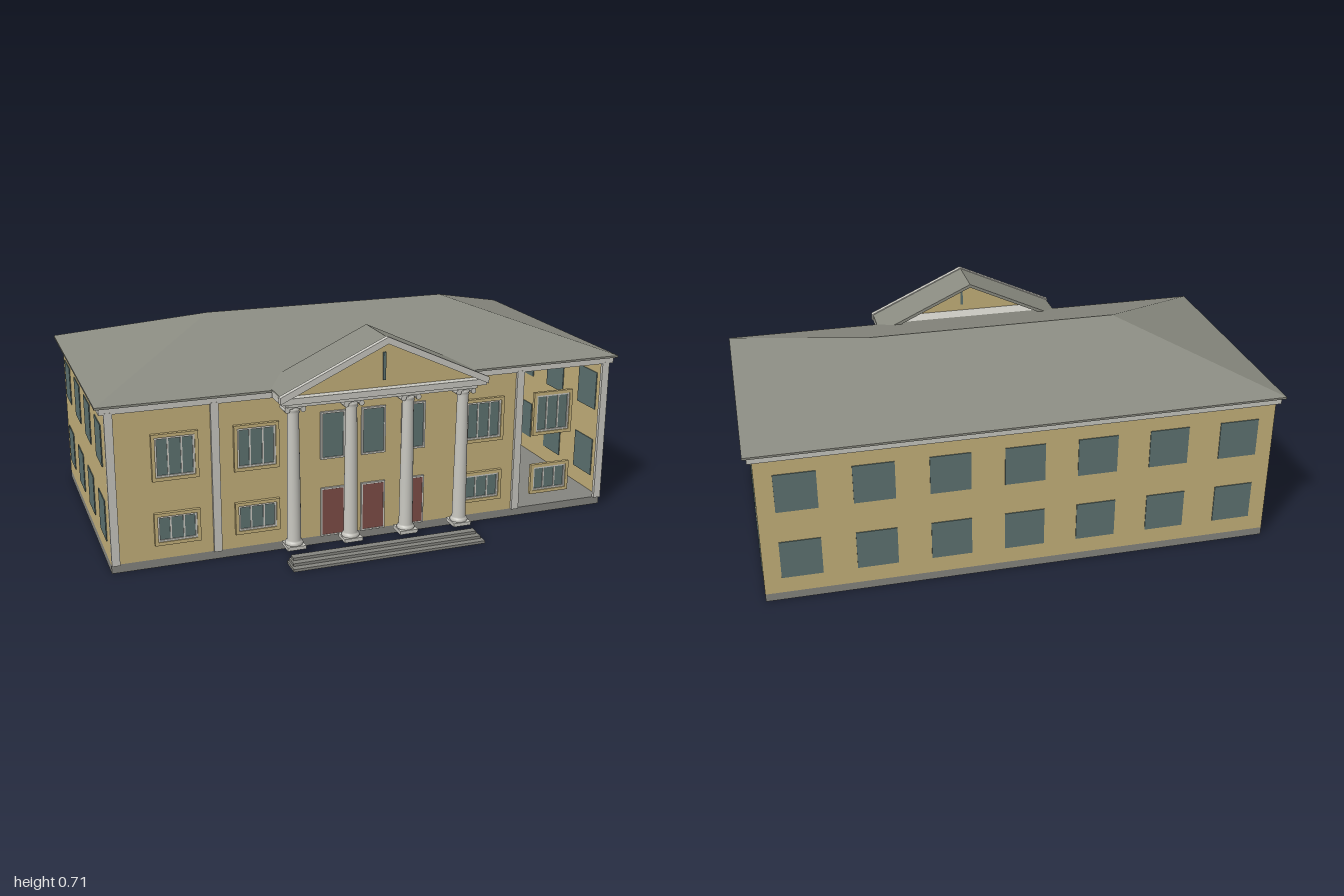
import * as THREE from 'three';
import { ConvexGeometry } from 'three/addons/geometries/ConvexGeometry.js';

const mat = (name, color, side = THREE.FrontSide) => {
  const m = new THREE.MeshStandardMaterial({ color, side });
  m.name = name;
  return m;
};

export function createModel() {
  const wallMat = mat('ochre wall', 0xc4b07a, THREE.DoubleSide);
  const roofMat = mat('grey roof', 0x8a8b81, THREE.DoubleSide);
  const trimMat = mat('pale trim', 0xc8c7c0);
  const baseMat = mat('plinth grey', 0x85857f);
  const glassMat = mat('blue grey glass', 0x5d7270);
  const doorMat = mat('red brown door', 0x7d4c46);

  const root = new THREE.Group();
  const building = new THREE.Group();
  building.name = 'building';
  building.rotation.y = 0.95; // the building stands diagonally
  root.add(building);

  const add = (name, geo, material, x = 0, y = 0, z = 0, parent = building) => {
    const m = new THREE.Mesh(geo, material);
    m.name = name;
    m.position.set(x, y, z);
    parent.add(m);
    return m;
  };
  const box = (name, material, w, h, d, x, y, z, parent) =>
    add(name, new THREE.BoxGeometry(w, h, d), material, x, y, z, parent);
  const extrude = (shape, depth) => new THREE.ExtrudeGeometry(shape, { depth, bevelEnabled: false });
  const polygon = (pts) => new THREE.Shape(pts.map(([x, y]) => new THREE.Vector2(x, y)));

  const A = 0.866, B = 0.447, Y0 = 0.028, Y1 = 0.525;

  // plinth with the floor on top
  box('plinth', baseMat, 2 * A, Y0, 2 * B, 0, Y0 / 2, 0);

  // thin walls; the right bay of the front is open
  const wall = (name, w, x, z, ry) => {
    const m = add(name, new THREE.PlaneGeometry(w, Y1 - Y0), wallMat, x, (Y0 + Y1) / 2, z);
    m.rotation.y = ry;
  };
  const bay = 0.525;
  wall('frontWall', A + bay, (bay - A) / 2, B, 0);
  wall('backWall', 2 * A, 0, -B, Math.PI);
  wall('leftWall', 2 * B, -A, 0, -Math.PI / 2);
  wall('rightWall', 2 * B, A, 0, Math.PI / 2);

  // plain windows on the ends and the back, visible from inside too
  for (const [y, h] of [[0.153, 0.135], [0.4, 0.135]]) {
    for (const z of [-0.342, -0.112, 0.108, 0.33])
      for (const s of [-1, 1]) box('endWindow', glassMat, 0.006, h, 0.116, s * A, y, z);
    for (let i = -3; i <= 3; i++) box('backWindow', glassMat, 0.135, h, 0.006, i * 0.247, y, -B);
  }

  // rectangular ring used for window frames
  const ring = (w, h, t, depth) => {
    const rect = (a, b) => [[-a, -b], [a, -b], [a, b], [-a, b]];
    const s = polygon(rect(w / 2, h / 2));
    s.holes.push(polygon(rect(w / 2 - t, h / 2 - t)));
    return extrude(s, depth);
  };
  const frontWindow = (x, y, w, h, mullions, surround) => {
    const g = new THREE.Group();
    g.name = 'frontWindow';
    g.position.set(x, y, B);
    building.add(g);
    box('glass', glassMat, w - 0.01, h - 0.01, 0.006, 0, 0, 0.001, g);
    add('frame', ring(w, h, 0.006, 0.008), trimMat, 0, 0, 0, g);
    if (surround) add('surround', ring(w + 0.022, h + 0.022, 0.011, 0.012), wallMat, 0, 0, 0, g);
    for (const m of mullions) box('mullion', trimMat, 0.005, h - 0.01, 0.004, m * w, 0, 0.005, g);
  };
  for (const s of [-1, 1])
    for (const x of [0.395, 0.655]) {
      frontWindow(s * x, 0.13, 0.125, 0.085, [-0.17, 0.17], true);
      frontWindow(s * x, 0.366, 0.125, 0.13, [-0.17, 0.17], true);
    }

  // doors with tall windows above
  for (const x of [-0.14, 0, 0.14]) {
    box('door', doorMat, 0.075, 0.16, 0.008, x, 0.11, B + 0.002);
    add('doorFrame', ring(0.083, 0.168, 0.005, 0.008), trimMat, x, 0.112, B);
    frontWindow(x, 0.375, 0.083, 0.16, [], false);
  }

  // pilasters
  for (const s of [-1, 1])
    for (const x of [0.527, 0.853]) box('pilaster', trimMat, 0.026, Y1 - Y0, 0.012, s * x, (Y0 + Y1) / 2, B + 0.004);

  // cornice and hipped roof
  box('cornice', trimMat, 1.762, 0.022, 0.912, 0, 0.531, 0);
  const roofPts = [];
  for (const sx of [-1, 1]) {
    roofPts.push(new THREE.Vector3(sx * 0.43, 0.7, 0));
    for (const sz of [-1, 1])
      for (const y of [0.54, 0.547]) roofPts.push(new THREE.Vector3(sx * 0.894, y, sz * 0.464));
  }
  add('mainRoof', new ConvexGeometry(roofPts), roofMat);

  // portico columns: plinth block, turned shaft, capital
  const shaft = new THREE.LatheGeometry(
    [[0, 0.04], [0.028, 0.04], [0.03, 0.046], [0.027, 0.053], [0.023, 0.057], [0.022, 0.2], [0.0185, 0.48],
      [0.022, 0.484], [0.019, 0.489], [0.028, 0.503], [0, 0.503]].map(([r, y]) => new THREE.Vector2(r, y)), 20);
  for (const x of [-0.29, -0.097, 0.097, 0.29]) {
    const column = new THREE.Group();
    column.name = 'column';
    column.position.set(x, 0, 0.503);
    building.add(column);
    box('columnBase', trimMat, 0.062, 0.012, 0.062, 0, 0.036, 0, column);
    add('columnShaft', shaft, trimMat, 0, 0, 0, column);
    box('capital', trimMat, 0.064, 0.012, 0.05, 0, 0.506, 0, column);
    for (const s of [-1, 1]) {
      const scroll = add('scroll', new THREE.CylinderGeometry(0.009, 0.009, 0.052, 10), trimMat, s * 0.026, 0.497, 0, column);
      scroll.rotation.x = Math.PI / 2;
    }
  }

  // entablature, pediment and gable roof, open at the back
  box('entablature', trimMat, 0.64, 0.016, 0.085, 0, 0.519, 0.503);
  box('entablatureTop', trimMat, 0.69, 0.02, 0.1, 0, 0.535, 0.513);
  add('pediment', new THREE.ShapeGeometry(polygon([[-0.32, 0.543], [0.32, 0.543], [0, 0.697]])), wallMat, 0, 0, 0.535);
  box('pedimentSlot', glassMat, 0.009, 0.09, 0.006, 0, 0.613, 0.537);
  const chevron = (w, top, eave, t) =>
    polygon([[-w, eave], [0, top], [w, eave], [w, eave - t], [0, top - t], [-w, eave - t]]);
  add('porticoRoof', extrude(chevron(0.345, 0.71, 0.55, 0.012), 0.18), roofMat, 0, 0, 0.377);
  add('rakingCornice', extrude(chevron(0.35, 0.713, 0.552, 0.022), 0.018), trimMat, 0, 0, 0.55);

  // three front steps
  for (let i = 0; i < 3; i++) {
    const d = 0.07 - i * 0.022;
    box('step', baseMat, 0.66 - i * 0.012, 0.009, d, 0, 0.0045 + i * 0.009, 0.555 + d / 2);
  }
  return root;
}
